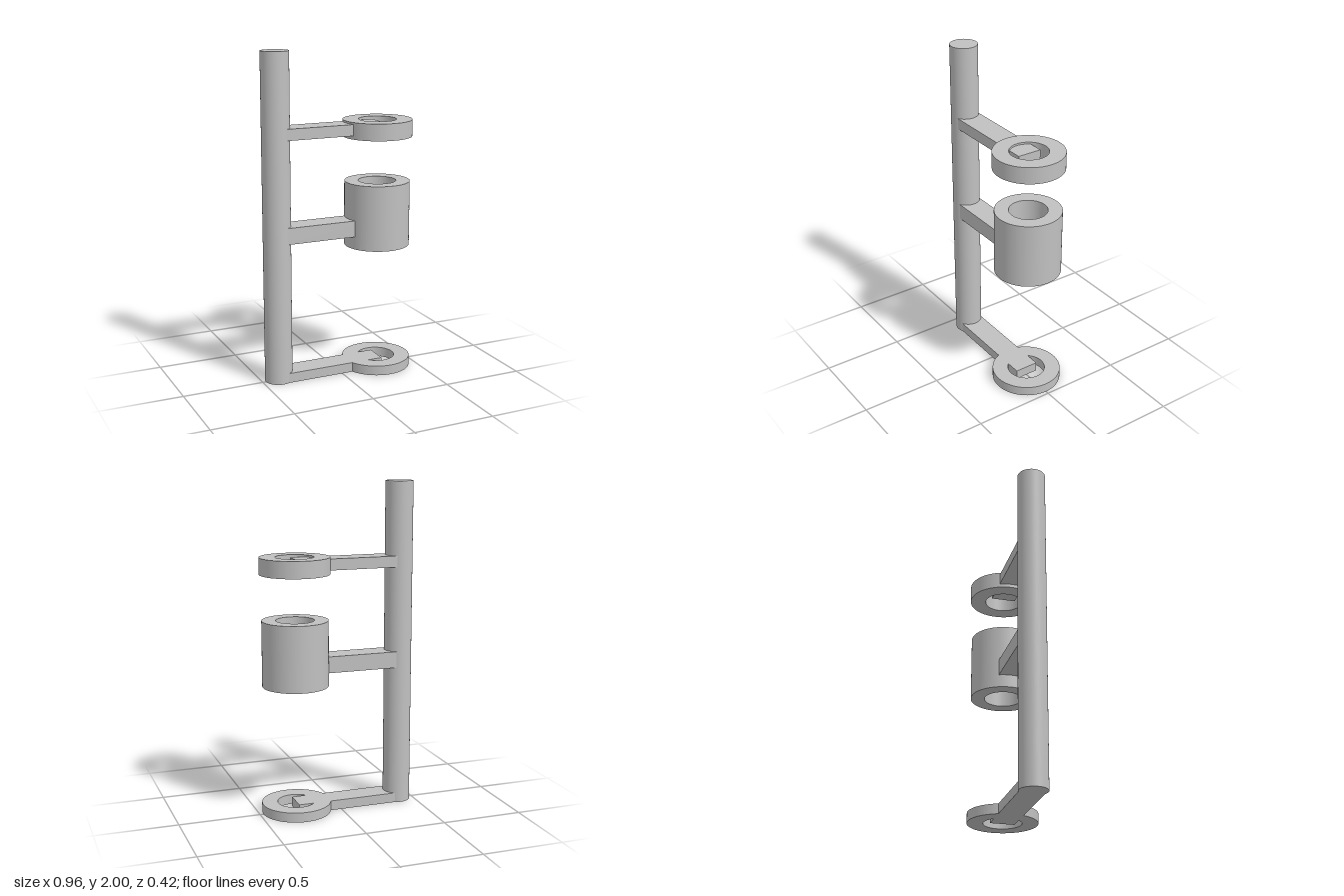
import * as THREE from 'three';

const POLE_X = -0.395, RING_X = 0.267, BORE = 0.115, ARM_END = 0.272;

export function createModel() {
  const group = new THREE.Group();
  const grey = new THREE.MeshStandardMaterial({ color: 0xc0c0c0 });
  grey.name = 'plain grey';

  const add = (name, geometry, x, y) => {
    const mesh = new THREE.Mesh(geometry, grey);
    mesh.name = name;
    mesh.position.set(x, y, 0);
    group.add(mesh);
  };

  // Upright pole
  add('pole', new THREE.CylinderGeometry(0.084, 0.084, 2, 64), POLE_X, 1);

  // Ring with a round bore, rising from y = 0
  const ringGeometry = (radius, height) => {
    const shape = new THREE.Shape().absarc(0, 0, radius, 0, Math.PI * 2);
    shape.holes.push(new THREE.Path().absarc(0, 0, BORE, 0, Math.PI * 2, true));
    return new THREE.ExtrudeGeometry(shape, { depth: height, bevelEnabled: false, curveSegments: 64 })
      .rotateX(-Math.PI / 2);
  };

  // Each holder is a ring on a flat arm that reaches into the bore
  const holders = [
    { name: 'base', radius: 0.211, ring: [0, 0.06], arm: [0, 0.06] },
    { name: 'middle', radius: 0.2, ring: [0.79, 1.19], arm: [0.868, 0.968] },
    { name: 'upper', radius: 0.211, ring: [1.465, 1.567], arm: [1.487, 1.555] },
  ];
  for (const { name, radius, ring, arm } of holders) {
    add(name + 'Ring', ringGeometry(radius, ring[1] - ring[0]), RING_X, ring[0]);
    add(name + 'Arm', new THREE.BoxGeometry(ARM_END - POLE_X, arm[1] - arm[0], 0.15),
      (POLE_X + ARM_END) / 2, (arm[0] + arm[1]) / 2);
  }
  return group;
}
